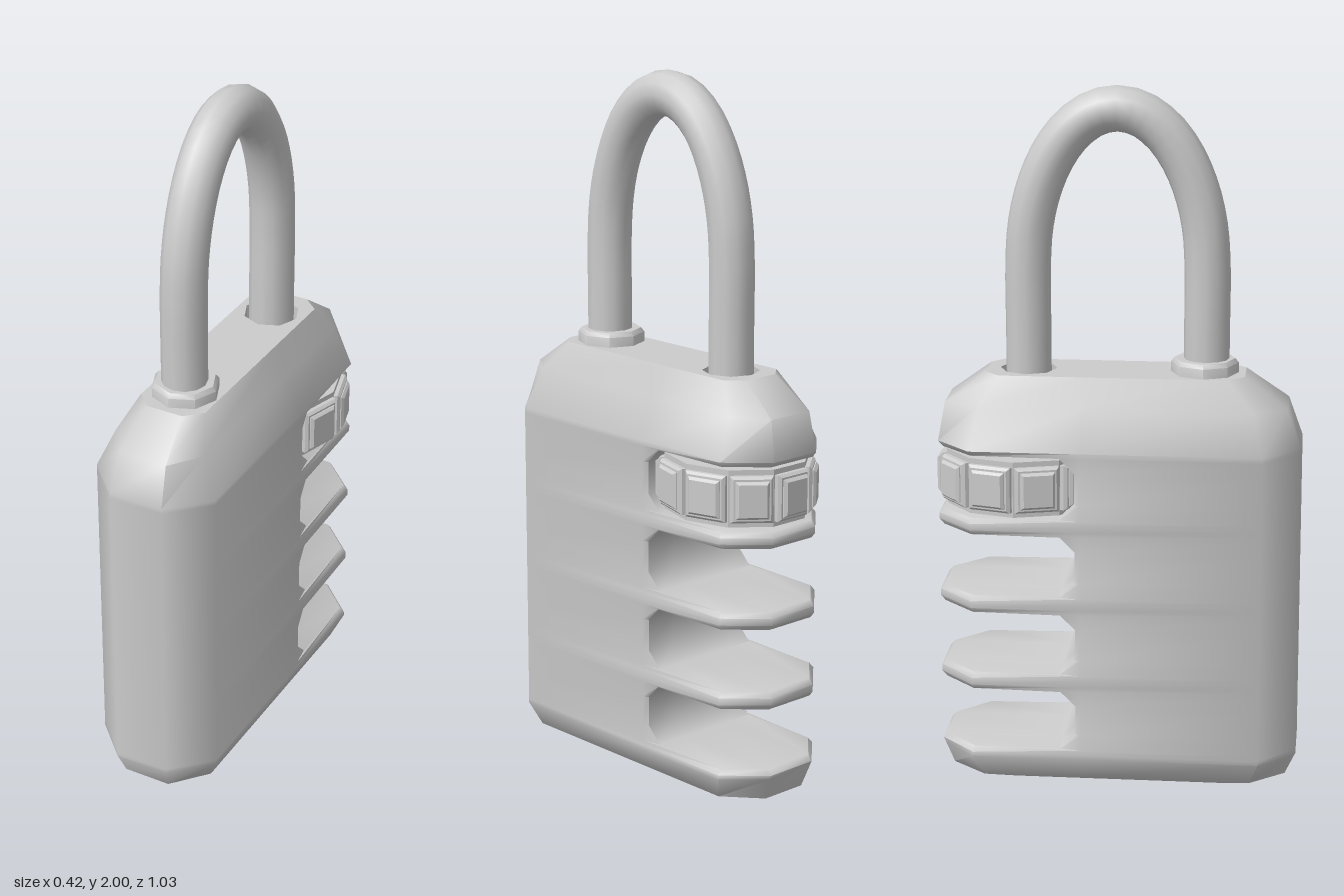
import * as THREE from 'three';
import { toCreasedNormals } from 'three/addons/utils/BufferGeometryUtils.js';

const material = new THREE.MeshStandardMaterial({ color: 0xcccccc });

function add(parent, name, geometry) {
  const mesh = new THREE.Mesh(geometry, material);
  mesh.name = name;
  parent.add(mesh);
  return mesh;
}

// Ten-point horizontal outline: front corners, flank points, back corners
function section(y, w, cx, zf, zfc, zb, zbc, inset = 0) {
  const right = [
    [cx, zf], [w, zfc], [w, -0.095], [w - inset, zbc], [Math.min(cx, w - inset), zb],
  ];
  const left = right.map(([x, z]) => [-x, z]).reverse();
  return [...right, ...left].map(([x, z]) => new THREE.Vector3(x, y, z));
}

// Skin between successive outlines, leaving out empty triangles
function loft(sections) {
  const pos = [];
  const tri = (a, b, c) => {
    const area = b.clone().sub(a).cross(c.clone().sub(a)).length();
    if (area > 1e-7) for (const p of [a, b, c]) pos.push(p.x, p.y, p.z);
  };
  for (let i = 0; i + 1 < sections.length; i++) {
    const lo = sections[i], hi = sections[i + 1], n = lo.length;
    for (let j = 0; j < n; j++) {
      const k = (j + 1) % n;
      tri(lo[j], lo[k], hi[k]);
      tri(lo[j], hi[k], hi[j]);
    }
  }
  const g = new THREE.BufferGeometry();
  g.setAttribute('position', new THREE.Float32BufferAttribute(pos, 3));
  return toCreasedNormals(g, 0.9);
}

const HOLE_Z = -0.255, HOLE_R = 0.08, COLLAR_Z = 0.24;

function buildBody(parent) {
  const full = (y) => section(y, 0.185, 0.08, 0.515, 0.41, -0.505, -0.405);
  const finFace = (y) => section(y, 0.185, 0.08, 0.515, 0.41, -0.492, -0.4, 0.012);
  const cut = (y, z) => section(y, 0.185, 0.08, 0.515, 0.41, z, z, 0.01);

  // Rounded foot
  const sections = [
    section(0, 0.095, 0.05, 0.34, 0.3, -0.33, -0.29),
    section(0.028, 0.155, 0.07, 0.485, 0.385, -0.475, -0.375),
    section(0.095, 0.185, 0.08, 0.515, 0.41, -0.5, -0.405),
  ];
  // Four slots cut into the back, with thin fins between them
  for (const [y0, y1] of [[0.122, 0.298], [0.348, 0.528], [0.578, 0.758], [0.806, 0.987]]) {
    sections.push(
      full(y0 - 0.015), finFace(y0), cut(y0, -0.155), cut(y0 + 0.045, -0.11),
      cut(y1 - 0.045, -0.11), cut(y1, -0.155), finFace(y1), full(y1 + 0.015),
    );
  }
  // Tapered shoulders
  sections.push(
    section(1.115, 0.137, 0.072, 0.475, 0.385, -0.485, -0.385),
    section(1.2, 0.1, 0.055, 0.355, 0.31, -0.37, -0.33),
  );
  add(parent, 'body', loft(sections));

  // Bottom cap
  const foot = new THREE.Shape(sections[0].map((p) => new THREE.Vector2(p.x, p.z)));
  add(parent, 'bodyBottom', new THREE.ShapeGeometry(foot).rotateX(Math.PI / 2));

  // Top cap with the hole for the free leg of the shackle
  const top = new THREE.Shape(sections.at(-1).map((p) => new THREE.Vector2(p.x, -p.z)));
  const hole = [];
  for (let i = 0; i < 8; i++) {
    const a = (i * Math.PI) / 4;
    hole.push(new THREE.Vector2(HOLE_R * Math.cos(a), -HOLE_Z + HOLE_R * Math.sin(a)));
  }
  top.holes.push(new THREE.Path(hole));
  add(parent, 'bodyTop', new THREE.ShapeGeometry(top).rotateX(-Math.PI / 2)).position.y = 1.2;

  // Recess below the hole, seen from inside
  const well = new THREE.LatheGeometry([
    new THREE.Vector2(HOLE_R, 1.2), new THREE.Vector2(HOLE_R, 1.12), new THREE.Vector2(0, 1.12),
  ], 8);
  add(parent, 'shackleHole', toCreasedNormals(well, 0.5)).position.z = HOLE_Z;
}

function buildShackle(parent) {
  // Straight legs joined by a half-ellipse arch
  const path = new THREE.CurvePath();
  const centre = (0.245 + HOLE_Z) / 2, half = (0.245 - HOLE_Z) / 2;
  const points = [1.1, 1.3].map((y) => new THREE.Vector3(0, y, 0.245));
  for (let i = 0; i <= 12; i++) {
    const a = (i / 12) * Math.PI;
    points.push(new THREE.Vector3(0, 1.5 + 0.435 * Math.sin(a), centre + half * Math.cos(a)));
  }
  points.push(...[1.3, 1.1].map((y) => new THREE.Vector3(0, y, HOLE_Z)));
  const curve = new THREE.CatmullRomCurve3(points);
  add(parent, 'shackle', new THREE.TubeGeometry(curve, 48, 0.064, 12));

  // Collar around the fixed leg
  const profile = [[0.095, 1.17], [0.095, 1.228], [0.085, 1.24], [0.06, 1.24]];
  const collar = new THREE.LatheGeometry(profile.map(([r, y]) => new THREE.Vector2(r, y)), 8);
  add(parent, 'shackleCollar', toCreasedNormals(collar, 0.9)).position.z = COLLAR_Z;
}

// Flat rectangle with chamfered edges, facing +z
function plate(w, h, depth, bevel) {
  const x = w / 2 - bevel, y = h / 2 - bevel;
  const shape = new THREE.Shape([[-x, -y], [x, -y], [x, y], [-x, y]].map((p) => new THREE.Vector2(...p)));
  return new THREE.ExtrudeGeometry(shape, {
    depth, bevelEnabled: true, bevelSize: bevel, bevelThickness: bevel, bevelSegments: 1,
  });
}

function buildDial(parent) {
  const dial = new THREE.Group();
  dial.name = 'dial';
  dial.position.set(0, 0.895, -0.28);
  dial.scale.z = 1.12;
  parent.add(dial);

  // Ten-sided wheel with a flat towards the back
  const r = 0.182 / Math.cos(Math.PI / 10);
  const wheel = new THREE.CylinderGeometry(r, r, 0.16, 10).rotateY(Math.PI / 10);
  add(dial, 'dialWheel', toCreasedNormals(wheel, 0.5));

  // Raised tile with a smaller face on each side of the wheel
  const tile = plate(0.112, 0.13, 0.012, 0.007);
  const face = plate(0.088, 0.105, 0.012, 0.007);
  for (let i = 0; i < 10; i++) {
    const arm = new THREE.Group();
    arm.name = 'dialTile';
    arm.rotation.y = Math.PI + (i * Math.PI) / 5;
    add(arm, 'tileBase', tile).position.z = 0.181;
    add(arm, 'tileFace', face).position.z = 0.191;
    dial.add(arm);
  }
}

export function createModel() {
  const model = new THREE.Group();
  model.name = 'padlock';
  buildBody(model);
  buildShackle(model);
  buildDial(model);
  return model;
}
